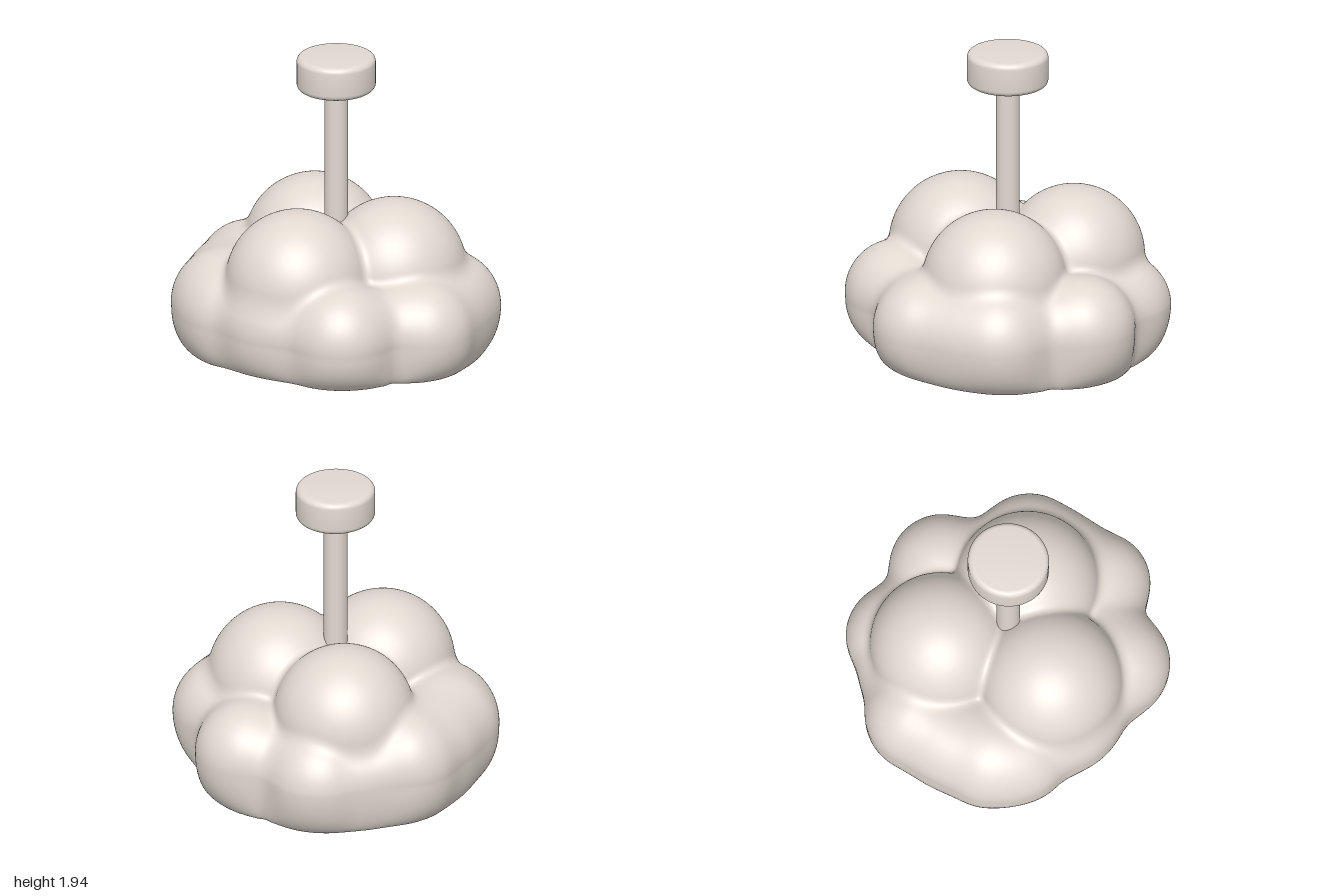
import * as THREE from 'three';
import { toCreasedNormals } from 'three/addons/utils/BufferGeometryUtils.js';

const COLS = 256, ROWS = 100, LIP_ROWS = 16, EQUATOR = 0.33;

// Puffs of the cloud: x, y, z, radius
const RING_PUFFS = [
  [0.1, 0.37, 0.66, 0.32],
  [0.57, 0.34, 0.4, 0.31],
  [0.64, 0.33, 0.15, 0.3],
  [0.66, 0.33, -0.07, 0.335],
  [0.39, 0.335, -0.54, 0.32],
  [-0.1, 0.3, -0.66, 0.325],
  [-0.35, 0.33, -0.56, 0.26],
  [-0.57, 0.37, -0.4, 0.32],
  [-0.65, 0.37, -0.16, 0.3],
  [-0.66, 0.36, 0.09, 0.335],
  [-0.62, 0.35, 0.26, 0.29],
  [-0.29, 0.37, 0.44, 0.35],
];
const UPPER_PUFFS = [
  [0, 0.4, 0, 0.36],
  [0.355, 0.58, 0.01, 0.44],
  [-0.2, 0.6, 0.33, 0.437],
  [-0.17, 0.59, -0.375, 0.43],
];

// Softly blended distance to a filling ring and all puffs
function cloudDistance(x, y, z) {
  let d = Math.hypot(Math.hypot(x, z) - 0.58, y - 0.34 - 0.04 * z) - 0.265;
  for (const [puffs, k] of [[RING_PUFFS, 0.09], [UPPER_PUFFS, 0.055]]) {
    for (const [px, py, pz, r] of puffs) {
      const e = Math.hypot(x - px, y - py, z - pz) - r;
      const h = Math.max(k - Math.abs(d - e), 0) / k;
      d = Math.min(d, e) - h * h * k * 0.25;
    }
  }
  return d;
}

// Outermost surface point along a direction: [horizontal radius, height]
function surfaceAt(theta, phi) {
  const c = Math.cos(phi), s = Math.sin(phi);
  const dx = c * Math.cos(theta), dz = c * Math.sin(theta);
  let t = 1.4;
  for (let i = 0; i < 120; i++) {
    const d = cloudDistance(dx * t, EQUATOR + s * t, dz * t);
    if (d < 1e-4) break;
    t = Math.max(t - d, 0);
  }
  return [c * t, EQUATOR + s * t];
}

// Closed rings of points, one [radius, height] list per column, joined into a skin
function skin(columns) {
  const pos = [], index = [];
  const n = columns[0].length;
  columns.forEach((column, j) => {
    const a = (j / COLS) * Math.PI * 2;
    for (const [r, y] of column) pos.push(r * Math.cos(a), y, r * Math.sin(a));
    const next = (j + 1) % COLS;
    for (let i = 0; i < n - 1; i++) {
      const p = j * n + i, q = next * n + i;
      index.push(p, q, p + 1, q, q + 1, p + 1);
    }
  });
  const g = new THREE.BufferGeometry();
  g.setAttribute('position', new THREE.Float32BufferAttribute(pos, 3));
  g.setIndex(index);
  g.computeVertexNormals();
  return g;
}

function buildCloud() {
  const outer = [], cavity = [], reaches = [];
  for (let j = 0; j < COLS; j++) {
    reaches.push(surfaceAt((j / COLS) * Math.PI * 2, 0)[0]);
  }
  for (let j = 0; j < COLS; j++) {
    const theta = (j / COLS) * Math.PI * 2;
    const reach = reaches[j];
    // The inner wall follows a smoothed outline
    const span = 20;
    let mean = 0;
    for (let i = -span; i <= span; i++) mean += reaches[(j + i + COLS) % COLS] / (2 * span + 1);
    const wall = Math.min(mean * 0.865, reach * 0.93);

    const column = [];
    for (let i = 0; i <= ROWS; i++) {
      column.push(surfaceAt(theta, (1 - i / ROWS) * Math.PI / 2));
    }
    // Below the equator the shade curls under to a thin lip, lower at the back
    const lipY = 0.045 + 0.04 * Math.sin(theta) + 0.15 * (0.95 - reach);
    for (let i = 1; i <= LIP_ROWS; i++) {
      const a = (i / LIP_ROWS) * Math.PI / 2;
      column.push([wall + (reach - wall) * Math.cos(a), EQUATOR - (EQUATOR - lipY) * Math.sin(a)]);
    }
    outer.push(column);
    // Upright inner wall, sloping bands and flat ceiling
    cavity.push([
      [wall, lipY], [wall * 0.98, 0.3], [wall * 0.91, 0.37],
      [wall * 0.82, 0.44], [wall * 0.72, 0.515], [0, 0.515],
    ]);
  }
  return { outer: skin(outer), cavity: toCreasedNormals(skin(cavity), 0.2) };
}

// Short drum with rounded rims
function buildCanopy() {
  const R = 0.24, y0 = 1.73, y1 = 1.94, b = 0.035;
  const pts = [new THREE.Vector2(0, y0)];
  for (const [cy, start] of [[y0 + b, -Math.PI / 2], [y1 - b, 0]]) {
    for (let i = 0; i <= 6; i++) {
      const a = start + (i / 6) * Math.PI / 2;
      pts.push(new THREE.Vector2(R - b + b * Math.cos(a), cy + b * Math.sin(a)));
    }
  }
  pts.push(new THREE.Vector2(0, y1));
  return toCreasedNormals(new THREE.LatheGeometry(pts, 64).scale(1, 1, 1.03), 0.5);
}

export function createModel() {
  const group = new THREE.Group();
  group.name = 'cloudPendantLamp';
  const plaster = new THREE.MeshStandardMaterial({ color: 0xe2d9d1 });
  plaster.name = 'warmPlaster';

  const add = (name, geometry) => {
    const mesh = new THREE.Mesh(geometry, plaster);
    mesh.name = name;
    group.add(mesh);
    return mesh;
  };

  const cloud = buildCloud();
  add('cloudShade', cloud.outer);
  add('shadeCavity', cloud.cavity);
  add('stem', new THREE.CylinderGeometry(0.072, 0.072, 1.15, 40)).position.y = 1.175;
  add('ceilingCanopy', buildCanopy());
  return group;
}
